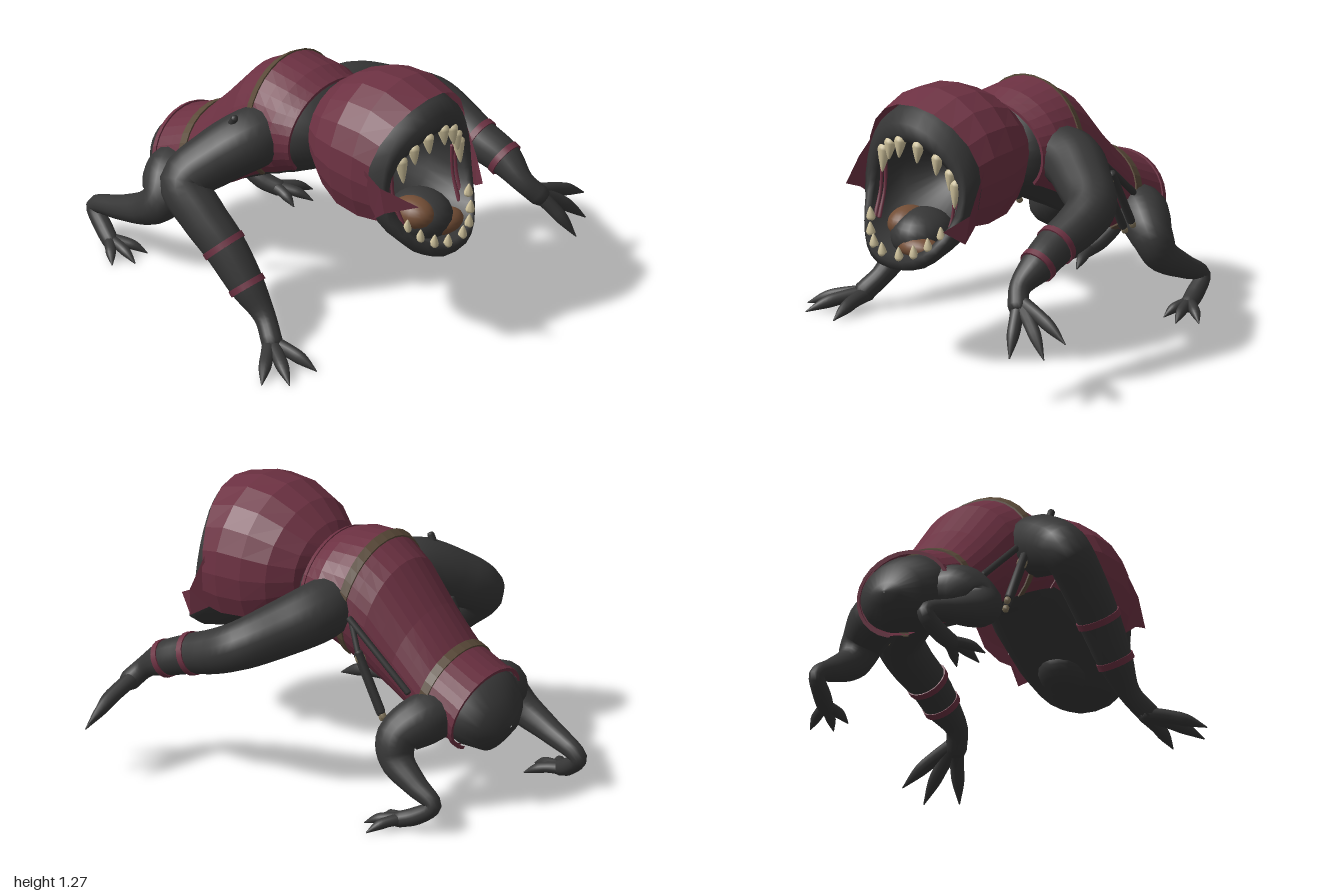
import * as THREE from 'three';

const V = (x, y, z) => new THREE.Vector3(x, y, z);
const paint = (name, color, side = THREE.FrontSide) => Object.assign(new THREE.MeshStandardMaterial({ color, side }), { name });

export function createModel() {
  const group = new THREE.Group();
  const charcoal = paint('charcoal skin', 0x373737);
  const maroon = paint('maroon cloth', 0x6c3142, THREE.DoubleSide);
  const leather = paint('brown leather', 0x5a4a39, THREE.DoubleSide);
  const bone = paint('bone', 0xcfc29c);
  const tongueBrown = paint('tongue brown', 0x734e36);
  const gunmetal = paint('dark gear', 0x323232);
  const khaki = paint('khaki fittings', 0x85785e);

  const add = (name, geo, mat, parent = group) => {
    const m = new THREE.Mesh(geo, mat);
    m.name = name;
    parent.add(m);
    return m;
  };

  // Surface through rows of points; closed rows wrap around, winding is turned outward
  function skin(rows, closed = true, flat = false) {
    const n = rows[0].length, idx = [], pts = rows.flat();
    for (let i = 0; i < rows.length - 1; i++)
      for (let j = 0; j < (closed ? n : n - 1); j++) {
        const a = i * n + j, b = i * n + (j + 1) % n;
        idx.push(a, b, a + n, b, b + n, a + n);
      }
    const c = new THREE.Box3().setFromPoints(pts).getCenter(V());
    let vol = 0;
    for (let k = 0; k < idx.length; k += 3) {
      const [p, q, r] = [0, 1, 2].map(o => pts[idx[k + o]].clone().sub(c));
      vol += p.dot(q.cross(r));
    }
    if (vol < 0) idx.reverse();
    let g = new THREE.BufferGeometry().setFromPoints(pts);
    g.setIndex(idx);
    if (flat) g = g.toNonIndexed();
    g.computeVertexNormals();
    return g;
  }

  // Section: [topZ, topY, bottomZ, bottomY, halfWidth, centreX, sideBow, lowerSquareness]
  const onSection = ([tz, ty, bz, by, rx, cx = -0.06, bow = 0, square = 1], a, grow = 0) => {
    const s = Math.sin(a), c = Math.cos(a), k = 1 + grow / (Math.abs(ty - by) / 2);
    const w = s < 0 ? Math.sign(c) * Math.abs(c) ** square : c;
    return V(cx + w * (rx + grow), (ty + by) / 2 + s * k * (ty - by) / 2,
      (tz + bz) / 2 + s * k * (tz - bz) / 2 - bow * c * c);
  };
  const ring = (sec, n, a0 = 0, a1 = Math.PI * 2, grow = 0, closed = true) =>
    Array.from({ length: closed ? n : n + 1 }, (_, i) => onSection(sec, a0 + (a1 - a0) * i / n, grow));
  const mix = (p, q, t) => p.map((v, i) => v + (q[i] - v) * t);

  // Tapered limb through [x, y, z, radius] points with rounded ends
  function limb(name, pts, mat = charcoal, sides = 16, steps = 5, parent = group) {
    const curve = new THREE.CatmullRomCurve3(pts.map(p => V(p[0], p[1], p[2])));
    const radii = new THREE.CatmullRomCurve3(pts.map((p, i) => V(p[3], i * 0.1, 0)));
    const n = (pts.length - 1) * steps, rows = [];
    let nor = V(0.3, 0.2, 0.93);
    const loop = (c, t, r) => {
      const bi = V().crossVectors(t, nor);
      return Array.from({ length: sides }, (_, j) => {
        const a = j / sides * Math.PI * 2;
        return c.clone().addScaledVector(nor, Math.cos(a) * r).addScaledVector(bi, Math.sin(a) * r);
      });
    };
    for (let i = 0; i <= n; i++) {
      const c = curve.getPoint(i / n), t = curve.getTangent(i / n), r = Math.max(radii.getPoint(i / n).x, 0.002);
      nor = nor.clone().addScaledVector(t, -nor.dot(t)).normalize();
      const end = i === 0 ? -1 : i === n ? 1 : 0;
      const caps = [[0.5, 0.8], [0.7, 0.001]].map(([d, k]) => loop(c.clone().addScaledVector(t, end * r * d), t, r * k));
      if (end < 0) rows.push(caps[1], caps[0]);
      rows.push(loop(c, t, r));
      if (end > 0) rows.push(caps[0], caps[1]);
    }
    add(name, skin(rows), mat, parent);
    return curve;
  }
  const blob = (name, mat, p, s) => {
    const m = add(name, new THREE.SphereGeometry(1, 20, 14), mat);
    m.position.set(...p);
    m.scale.set(...s);
  };

  // Torso and the open-bellied vest over it, which wraps lower towards the hips
  const body = [
    [0.28, 1.0, 0.3, 0.74, 0.18, -0.06], [0.2, 1.08, 0.2, 0.68, 0.27, -0.08], [0.1, 1.12, 0.1, 0.63, 0.3, -0.08],
    [-0.05, 1.14, 0, 0.58, 0.29, -0.075], [-0.2, 1.05, -0.12, 0.52, 0.265, -0.07],
    [-0.36, 0.86, -0.25, 0.45, 0.24, -0.07], [-0.5, 0.71, -0.42, 0.36, 0.23, -0.065],
    [-0.7, 0.62, -0.62, 0.28, 0.23, -0.065], [-0.78, 0.55, -0.72, 0.27, 0.17, -0.06],
    [-0.81, 0.45, -0.79, 0.35, 0.08, -0.06], [-0.815, 0.41, -0.81, 0.4, 0.005, -0.06],
  ];
  const start = [0.31, 0.87, 0.32, 0.86, 0.005, -0.06];
  add('torso', skin([start, ...body].map(s => ring(s, 28))), charcoal);
  const clothRow = (u, grow) => {
    const i = Math.min(Math.floor(u), 6), low = 0.55 + 0.08 * u;
    return ring(mix(body[i], body[i + 1], u - i), 24, -low, Math.PI + low, grow, false);
  };
  add('vest', skin(Array.from({ length: 13 }, (_, i) => clothRow(1 + i / 2, 0.018)), false, true), maroon);
  const strip = (name, u0, u1, grow, mat) => add(name, skin(
    [[u0, 0.01], [u0, grow], [u1, grow], [u1, 0.01]].map(r => clothRow(...r)), false, true), mat);
  strip('chestBelt', 3, 3.25, 0.026, leather);
  strip('waistBelt', 6, 6.2, 0.026, leather);
  strip('vestHem', 6.9, 7, 0.026, maroon);
  strip('vestCollar', 1, 1.2, 0.024, maroon);

  // Head: a hollow cup whose rim is the gaping mouth
  const lip = [0.825, 1.06, 0.945, 0.545, 0.255, -0.06, 0.12, 0.8];
  const head = [
    [0.22, 0.91, 0.22, 0.9, 0.005], [0.24, 1.0, 0.26, 0.82, 0.14], [0.33, 1.12, 0.37, 0.74, 0.25],
    [0.5, 1.21, 0.55, 0.61, 0.305], [0.68, 1.235, 0.73, 0.49, 0.32], [0.79, 1.21, 0.87, 0.46, 0.312, -0.06, 0.06, 0.9],
    [0.83, 1.15, 0.945, 0.48, 0.295, -0.06, 0.11, 0.8], [0.84, 1.1, 0.96, 0.52, 0.275, -0.06, 0.12, 0.8], lip,
    [0.74, 1.05, 0.8, 0.53, 0.26, -0.06, 0.08, 0.8], [0.57, 1.02, 0.62, 0.62, 0.23], [0.45, 0.92, 0.48, 0.72, 0.14],
    [0.41, 0.82, 0.41, 0.81, 0.005],
  ];
  add('headAndJaw', skin(head.map(s => ring(s, 32))), charcoal);

  // Hood with torn points beside the mouth
  const hood = [
    [0.2, 0.96, 0.2, 0.93, 0.01], [0.2, 1.06, 0.21, 0.82, 0.12], [0.25, 1.13, 0.27, 0.73, 0.24],
    [0.35, 1.21, 0.38, 0.65, 0.32], [0.48, 1.268, 0.49, 0.58, 0.358], [0.62, 1.275, 0.62, 0.56, 0.365],
    [0.78, 1.225, 0.77, 0.58, 0.35, -0.06, 0.07],
  ].map(([a, b, c, d, e, x = -0.06, bow = 0]) => [a, b, c, d, e, x, bow, 0.55]);
  add('hood', skin(hood.map(s => ring(s, 14, -0.7, Math.PI + 0.7, 0, false)), false, true), maroon);
  for (const [side, y, z] of [[1, 0.7, 0.88], [-1, 0.835, 0.95]]) {
    const X = r => -0.06 + side * r;
    add('hoodTornPoint', skin([
      [V(X(0.352), 0.97, 0.69), V(X(0.305), 0.69, 0.7)],
      [V(X(0.345), y + 0.07, 0.78), V(X(0.325), y - 0.07, 0.79)],
      [V(X(0.27), y, z), V(X(0.27), y - 0.002, z)],
    ], false, true), maroon);
  }

  // Teeth set around the lip
  const tooth = (a, len, r, dir) => {
    const g = new THREE.SphereGeometry(1, 10, 8);
    const p = g.attributes.position;
    for (let i = 0; i < p.count; i++) {
      const y = p.getY(i), k = y > 0 ? 1 - y * 0.55 : 1;
      p.setXYZ(i, p.getX(i) * r * k, y > 0 ? y * len : y * r, p.getZ(i) * r * k);
    }
    g.computeVertexNormals();
    const m = add(dir < 0 ? 'upperTooth' : 'lowerTooth', g, bone);
    m.position.copy(onSection(lip, a));
    m.rotation.x = dir < 0 ? Math.PI - 0.12 : 0.1;
  };
  for (const x of [-0.25, -0.19, -0.11, 0, 0.095, 0.155, 0.18]) {
    const fang = x === -0.25 || x === 0.18;
    tooth(Math.acos((x + 0.06) / lip[4]), fang ? 0.11 : 0.08, fang ? 0.031 : 0.029, -1);
  }
  for (let i = 0; i < 8; i++) tooth(Math.PI + 0.6 + i * (Math.PI - 1.2) / 7, 0.05, 0.022, 1);

  // Tongue with two bare brown patches, and the flesh strands at the mouth corners
  blob('tongue', charcoal, [-0.055, 0.6, 0.73], [0.14, 0.12, 0.16]);
  blob('tonguePatch', tongueBrown, [-0.125, 0.645, 0.75], [0.085, 0.075, 0.11]);
  blob('tonguePatch', tongueBrown, [0.0, 0.57, 0.82], [0.11, 0.055, 0.08]);
  for (const [s, drop] of [[-1, 0], [1, 0.05]]) for (const d of [0, 0.025])
    limb('mouthStrand', [[-0.06 + s * (0.24 - d), 0.92 - drop, 0.74, 0.01], [-0.06 + s * (0.235 - d), 0.78 - drop, 0.75, 0.008],
      [-0.06 + s * (0.225 - d), 0.65 - drop, 0.8, 0.011]], maroon, 8, 4);

  // Cloth bands around a forearm
  const band = (curve, t, r) => {
    const m = add('forearmBand', new THREE.CylinderGeometry(r, r, 0.03, 20), maroon);
    m.position.copy(curve.getPoint(t));
    m.quaternion.setFromUnitVectors(V(0, 1, 0), curve.getTangent(t));
  };
  // Clawed digits from a palm point to each tip
  const digits = (name, palm, tips, r) => {
    const g = new THREE.Group();
    g.name = name;
    group.add(g);
    for (const tip of tips) {
      const at = (t, lift) => palm.map((v, i) => v + (tip[i] - v) * t + (i === 1 ? lift : 0));
      limb('digit', [[...at(0, 0), r], [...at(0.4, 0.014), r * 0.85], [...at(0.68, 0.014), r * 0.75], [...tip, 0.003]], charcoal, 10, 4, g);
    }
  };

  // Arms: the left reaches forward, the right is planted
  const leftArm = limb('leftArm', [[0.12, 0.87, 0.05, 0.13], [0.26, 0.86, 0.06, 0.142], [0.42, 0.81, 0.15, 0.132], [0.575, 0.75, 0.27, 0.116],
    [0.597, 0.69, 0.4, 0.106], [0.595, 0.64, 0.53, 0.095], [0.61, 0.58, 0.67, 0.083], [0.605, 0.5, 0.79, 0.052], [0.65, 0.43, 0.85, 0.05]]);
  band(leftArm, 5 / 8, 0.102);
  band(leftArm, 6 / 8, 0.09);
  digits('leftHand', [0.64, 0.45, 0.83], [[0.95, 0.32, 0.86], [0.88, 0.245, 0.93], [0.73, 0.235, 1.0]], 0.038);
  const rightArm = limb('rightArm', [[-0.26, 0.87, 0.02, 0.13], [-0.38, 0.86, -0.02, 0.145], [-0.52, 0.79, -0.11, 0.135], [-0.655, 0.69, -0.185, 0.115],
    [-0.67, 0.57, -0.07, 0.108], [-0.665, 0.45, 0.06, 0.1], [-0.665, 0.29, 0.2, 0.083], [-0.67, 0.17, 0.31, 0.052], [-0.72, 0.08, 0.4, 0.05]]);
  band(rightArm, 5 / 8, 0.107);
  band(rightArm, 6 / 8, 0.09);
  digits('rightHand', [-0.71, 0.075, 0.38], [[-0.95, 0.008, 0.53], [-0.87, 0.008, 0.63], [-0.69, 0.008, 0.64]], 0.038);

  // Crouched hind legs with raised heels
  limb('leftLeg', [[0.06, 0.45, -0.55, 0.1], [0.19, 0.45, -0.5, 0.122], [0.31, 0.38, -0.435, 0.1], [0.345, 0.29, -0.46, 0.082],
    [0.37, 0.21, -0.58, 0.058], [0.385, 0.14, -0.7, 0.038], [0.41, 0.075, -0.62, 0.042], [0.44, 0.045, -0.54, 0.038]]);
  digits('leftFoot', [0.43, 0.05, -0.56], [[0.58, 0.008, -0.46], [0.5, 0.008, -0.39], [0.4, 0.008, -0.42]], 0.03);
  limb('rightLeg', [[-0.18, 0.45, -0.6, 0.1], [-0.31, 0.44, -0.56, 0.125], [-0.41, 0.36, -0.53, 0.1], [-0.425, 0.3, -0.6, 0.082],
    [-0.415, 0.235, -0.76, 0.06], [-0.385, 0.16, -0.955, 0.04], [-0.41, 0.085, -0.88, 0.042], [-0.44, 0.045, -0.81, 0.038]]);
  digits('rightFoot', [-0.43, 0.05, -0.83], [[-0.55, 0.008, -0.71], [-0.47, 0.008, -0.64], [-0.36, 0.008, -0.66]], 0.03);

  // Side gear: straps and a slung pair of rods on each flank
  const rod = (name, a, b, r, mat) => limb(name, [[...a, r], [...b, r]], mat, 8, 1);
  for (const s of [-1, 1]) {
    const X = r => -0.07 + s * r;
    rod('flankStrap', [X(0.3), 0.86, -0.1], [X(0.28), 0.57, -0.42], 0.016, gunmetal);
    rod('rodStrap', [X(0.29), 0.85, -0.1], [X(0.335), 0.7, -0.18], 0.014, gunmetal);
    for (const d of [-0.013, 0.013]) {
      rod('slungRod', [X(0.34 + d), 0.72 + d, -0.18 - d], [X(0.34 + d), 0.46 + d, -0.31 - d], 0.02, gunmetal);
      rod('rodTip', [X(0.34 + d), 0.447 + d, -0.317 - d], [X(0.34 + d), 0.435 + d, -0.323 - d], 0.016, khaki);
    }
    rod('rodCollar', [X(0.34), 0.705, -0.19], [X(0.34), 0.695, -0.195], 0.026, khaki);
  }
  rod('shoulderPeg', [-0.47, 0.94, -0.07], [-0.47, 1.0, -0.04], 0.018, gunmetal);
  return group;
}
